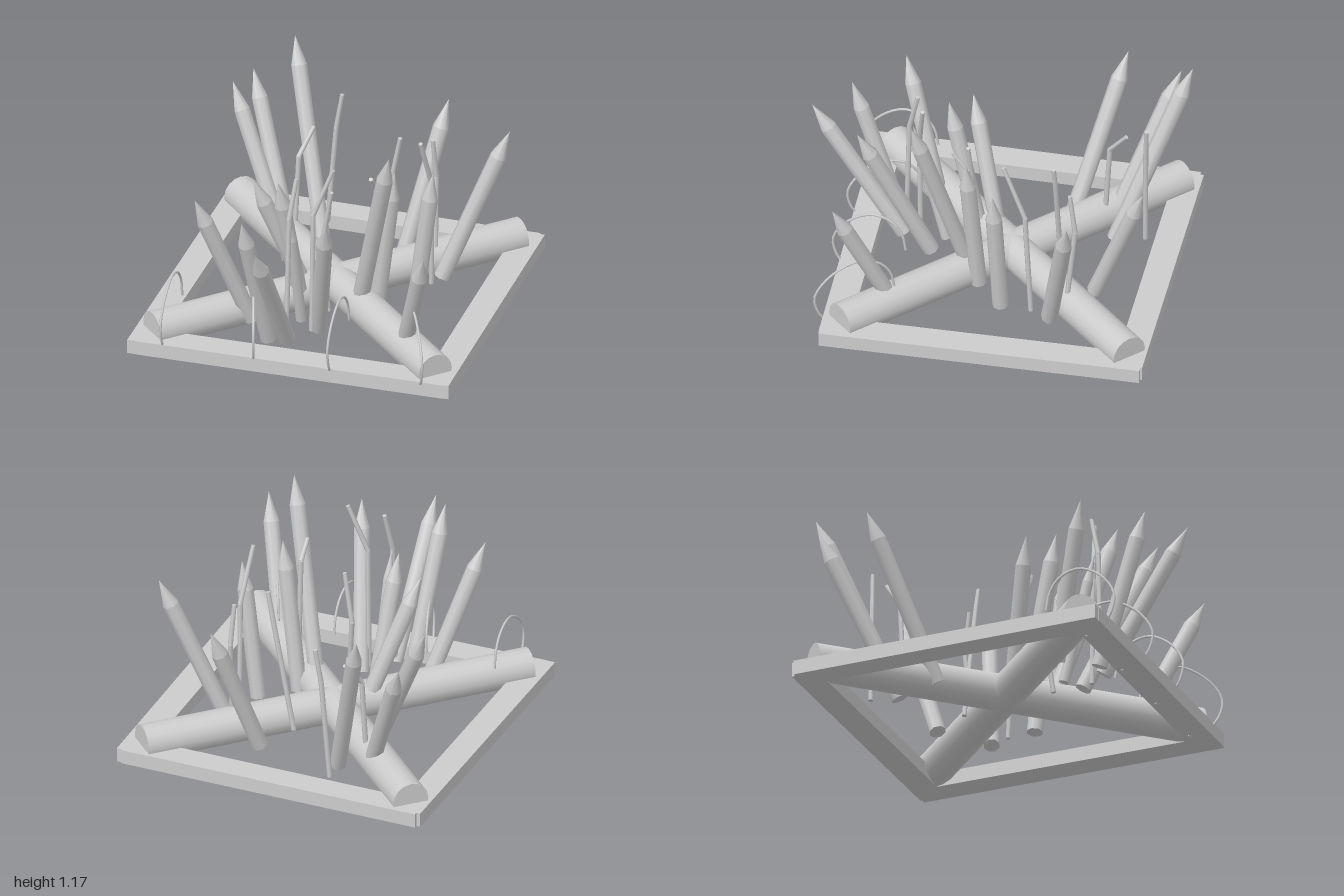
import * as THREE from 'three';

const V = (p) => new THREE.Vector3(...p);
const UP = new THREE.Vector3(0, 1, 0);

export function createModel() {
  const model = new THREE.Group();
  const grey = new THREE.MeshStandardMaterial({ color: 0xcccccc });
  grey.name = 'paleGrey';

  const add = (parent, name, geometry) => {
    const mesh = new THREE.Mesh(geometry, grey);
    mesh.name = name;
    parent.add(mesh);
    return mesh;
  };

  // Cylinder running between two points
  const rod = (parent, name, a, b, rBottom, rTop, sides) => {
    const d = b.clone().sub(a);
    const mesh = add(parent, name, new THREE.CylinderGeometry(rTop, rBottom, d.length(), sides));
    mesh.position.copy(a).addScaledVector(d, 0.5);
    mesh.quaternion.setFromUnitVectors(UP, d.normalize());
    return mesh;
  };

  // Slightly crooked square frame: name, width, depth, x, z, turn
  const beams = [
    ['backBeam', 1.7, 0.15, 0.01, -0.905, -0.006],
    ['frontBeam', 1.7, 0.155, 0.01, 0.7, 0.01],
    ['leftBeam', 0.155, 1.73, 0.81, -0.1, 0],
    ['rightBeam', 0.15, 1.75, -0.8, -0.09, -0.015],
  ];
  for (const [name, w, d, x, z, turn] of beams) {
    const beam = add(model, name, new THREE.BoxGeometry(w, 0.08, d));
    beam.position.set(x, 0.05, z);
    beam.rotation.y = turn;
  }

  // Crossed logs
  for (const s of [1, -1]) {
    rod(model, 'crossLog', V([-0.775 * s, 0.11, -0.89]), V([0.785 * s, 0.11, 0.67]), 0.1, 0.1, 16);
  }

  // Sharpened stakes: base, tip
  const stakes = [
    [[-0.24, 0.07, -0.62], [-0.505, 1.06, -0.99]],
    [[-0.41, 0.07, -0.58], [-0.705, 0.88, -0.89]],
    [[-0.34, 0.07, -0.36], [-0.73, 0.95, -0.6]],
    [[0.22, 0.07, -0.6], [0.38, 0.87, -0.89]],
    [[0.49, 0.07, -0.405], [0.82, 0.92, -0.56]],
    [[0.43, 0.07, -0.13], [0.535, 0.86, -0.105]],
    [[0.26, 0.07, 0.02], [0.375, 0.93, 0.07]],
    [[0.18, 0.1, 0.08], [0.43, 1.17, 0.35]],
    [[0.03, 0.07, 0.32], [0.185, 0.9, 0.69]],
    [[-0.09, 0.07, 0.49], [-0.115, 0.83, 0.99]],
    [[-0.19, 0.07, 0.51], [-0.25, 0.905, 0.8]],
    [[-0.14, 0.07, 0.08], [-0.21, 0.88, 0.27]],
    [[-0.13, 0.07, -0.02], [-0.38, 0.82, 0.17]],
    [[-0.34, 0.07, 0.33], [-0.58, 0.87, 0.57]],
    [[0.53, 0.07, 0.42], [0.735, 0.8, 0.72]],
    [[-0.085, 0.07, 0.26], [-0.095, 0.78, 0.44], 0.03],
  ];
  for (const [base, tip, r = 0.045] of stakes) {
    const stake = new THREE.Group();
    stake.name = 'stake';
    model.add(stake);
    const a = V(base), b = V(tip);
    const neck = b.clone().lerp(a, 0.16 / a.distanceTo(b));
    rod(stake, 'stakeShaft', a, neck, r, r, 8);
    rod(stake, 'stakePoint', neck, b, r, 0, 8);
  }

  // Thin bent sticks: base, bend, end
  const sticks = [
    [[-0.26, 0.08, -0.78], [-0.215, 0.65, -0.79], [-0.185, 0.85, -0.8]],
    [[-0.37, 0.08, -0.54], [-0.355, 0.57, -0.57], [-0.3, 0.71, -0.67]],
    [[0.43, 0.08, -0.48], [0.42, 0.6, -0.53], [0.41, 0.83, -0.5]],
    [[0.11, 0.08, -0.4], [0.24, 0.75, -0.39], [0.265, 0.88, -0.385]],
    [[0.465, 0.08, -0.3], [0.475, 0.7, -0.27], [0.45, 1.0, -0.15]],
    [[0.28, 0.08, 0.05], [0.275, 0.82, 0.08], [0.27, 0.92, 0.16]],
    [[0.03, 0.08, 0.15], [-0.01, 0.5, 0.1], [0.04, 0.78, 0.12]],
    [[-0.1, 0.08, 0.48], [-0.09, 0.78, 0.46], [-0.065, 1.0, 0.41]],
    [[0.01, 0.08, 0.38], [0.02, 0.78, 0.385], [0.12, 1.05, 0.35]],
  ];
  for (const points of sticks) {
    const [a, b, c] = points.map(V);
    const stick = new THREE.Group();
    stick.name = 'bentStick';
    model.add(stick);
    rod(stick, 'stickLower', a, b, 0.014, 0.014, 6);
    rod(stick, 'stickUpper', b, c, 0.014, 0.012, 6);
  }

  // Wires hooked round the front beam: x at the inner and outer ends
  const hook = [
    [0.42, 0.2], [0.44, 0.3], [0.5, 0.38], [0.61, 0.41], [0.74, 0.34],
    [0.81, 0.23], [0.8, 0.14], [0.76, 0.07], [0.65, 0.007],
  ];
  for (const [x0, x1] of [[-0.695, -0.695], [-0.3, -0.18], [0.23, 0.23], [0.55, 0.755]]) {
    const path = hook.map(([z, y]) => new THREE.Vector3(x0 + (x1 - x0) * (z - 0.42) / 0.39, y, z));
    add(model, 'wireHook', new THREE.TubeGeometry(new THREE.CatmullRomCurve3(path), 24, 0.007, 6));
  }
  return model;
}
